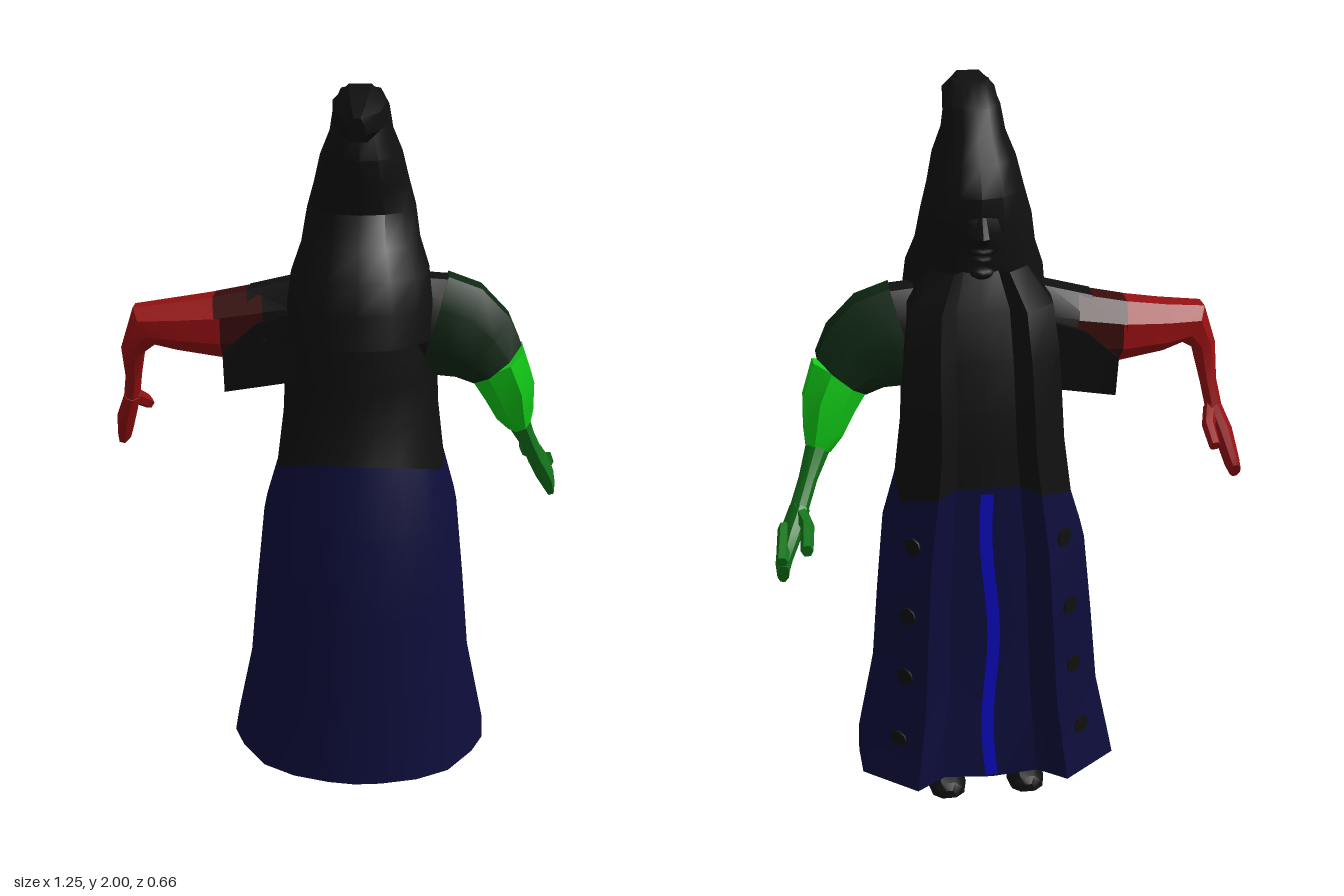
import * as THREE from 'three';
import { toCreasedNormals } from 'three/addons/utils/BufferGeometryUtils.js';

const V = (x, y, z) => new THREE.Vector3(x, y, z);
const CX = 0.07; // body axis

const mat = (name, color) => {
  const m = new THREE.MeshStandardMaterial({ color, side: THREE.DoubleSide });
  m.name = name;
  return m;
};

// Skin between cross-sections
function loft(rings, { closed = true, caps = false, crease = 0.7 } = {}) {
  const n = rings[0].length, pos = [], idx = [];
  rings.forEach(r => r.forEach(p => pos.push(p.x, p.y, p.z)));
  for (let i = 0; i < rings.length - 1; i++) {
    for (let j = 0; j < (closed ? n : n - 1); j++) {
      const k = (j + 1) % n, a = i * n, b = a + n;
      idx.push(a + j, a + k, b + k, a + j, b + k, b + j);
    }
  }
  if (caps) {
    [0, rings.length - 1].forEach(i => {
      const c = V(0, 0, 0);
      rings[i].forEach(p => c.addScaledVector(p, 1 / n));
      const ci = pos.length / 3;
      pos.push(c.x, c.y, c.z);
      for (let j = 0; j < n; j++) {
        const a = i * n + j, b = i * n + (j + 1) % n;
        idx.push(ci, i ? a : b, i ? b : a);
      }
    });
  }
  const g = new THREE.BufferGeometry();
  g.setAttribute('position', new THREE.Float32BufferAttribute(pos, 3));
  g.setIndex(idx);
  return toCreasedNormals(g, crease);
}

// Limb along stations [x, y, z, radius toward ref, radius across]
function limb(stations, ref = V(0, 0, 1), sides = 8) {
  const c = stations.map(s => V(s[0], s[1], s[2]));
  const rings = stations.map((s, i) => {
    const t = c[Math.min(i + 1, c.length - 1)].clone().sub(c[Math.max(i - 1, 0)]).normalize();
    const v = ref.clone().addScaledVector(t, -ref.dot(t)).normalize();
    const u = t.clone().cross(v);
    return Array.from({ length: sides }, (_, j) => {
      const a = ((j + 0.5) / sides) * Math.PI * 2;
      return c[i].clone().addScaledVector(v, Math.cos(a) * s[3]).addScaledVector(u, Math.sin(a) * s[4]);
    });
  });
  return loft(rings, { caps: true });
}

// Half outline of the coat: x by half width, z by back (+) or front (-) depth
const HALF = [[0, 1], [0.2, 0.97], [0.47, 0.87], [0.71, 0.68], [0.9, 0.3], [0.99, 0], [1, -0.35],
  [0.98, -0.67], [0.575, -1], [0.47, -0.92], [0.36, -0.84], [0, -0.88]];
const OUTLINE = [...HALF, ...HALF.slice(1, -1).reverse().map(([x, z]) => [-x, z])];
const robeRing = ([y, w, back, front, dip = 0]) => OUTLINE.map(([x, z]) =>
  V(CX + x * w, y - dip * Math.abs(x) ** 3, z > 0 ? z * back : -z * front));

// Stations: height, half width, back z, front z, dip at the sides
const SKIRT = [[0.12, 0.365, 0.27, -0.325], [0.37, 0.313, 0.247, -0.3], [0.6, 0.292, 0.23, -0.297],
  [0.83, 0.268, 0.208, -0.295], [1.02, 0.23, 0.16, -0.287, 0.06]];
const BODICE = [SKIRT[4], [1.12, 0.21, 0.13, -0.275], [1.22, 0.205, 0.12, -0.26],
  [1.35, 0.2, 0.12, -0.222], [1.47, 0.185, 0.1, -0.185], [1.56, 0.12, 0.07, -0.135]];

function skirtAt(y) {
  let i = 0;
  while (i < SKIRT.length - 2 && y > SKIRT[i + 1][0]) i++;
  const a = SKIRT[i], b = SKIRT[i + 1], t = (y - a[0]) / (b[0] - a[0]);
  return { w: a[1] + (b[1] - a[1]) * t, front: a[3] + (b[3] - a[3]) * t };
}

export function createModel() {
  const root = new THREE.Group();
  root.name = 'robedFigure';
  const black = mat('black cloth', 0x101010), navy = mat('navy cloth', 0x0d0d3b),
    blue = mat('blue trim', 0x0a0aba), darkGreen = mat('dark green', 0x0e2712),
    brightGreen = mat('bright green', 0x12cf18), green = mat('mid green', 0x13751a),
    red = mat('red', 0x961012), darkRed = mat('dark red', 0x3a0c0d);
  const add = (name, geo, m, parent = root) => {
    const mesh = new THREE.Mesh(geo, m);
    mesh.name = name;
    parent.add(mesh);
    return mesh;
  };

  // Robe
  add('skirt', loft(SKIRT.map(robeRing)), navy);
  add('bodice', loft(BODICE.map(robeRing), { caps: false }), black);

  // Wavy trim down the face-side panel
  const trim = Array.from({ length: 13 }, (_, i) => {
    const y = 0.13 + i * 0.073, x = CX + 0.01 * Math.sin(i * 0.75), z = skirtAt(y).front * 0.88 - 0.005;
    return [V(x - 0.017, y, z), V(x + 0.017, y, z)];
  });
  add('panelTrim', loft(trim, { closed: false }), blue);

  // Buttons on both slanted coat edges
  for (const s of [-1, 1]) {
    for (const y of [0.26, 0.46, 0.65, 0.86]) {
      const { w, front } = skirtAt(y);
      const dx = 0.405 * w, dz = -0.33 * front;
      const b = add('button', new THREE.CylinderGeometry(0.026, 0.026, 0.009, 8), black);
      b.position.set(CX + s * 0.76 * w, y, front * 0.848);
      b.quaternion.setFromUnitVectors(V(0, 1, 0), V(s * dz, 0, -dx).normalize());
    }
  }

  // Hood and its drape: height, half width, back z, front z
  const HOOD = [[1.365, 0.185, 0.262, -0.06], [1.45, 0.19, 0.25, -0.1], [1.53, 0.18, 0.235, -0.12],
    [1.6, 0.155, 0.19, -0.13], [1.68, 0.142, 0.14, -0.135], [1.75, 0.122, 0.165, -0.145],
    [1.82, 0.105, 0.18, -0.112], [1.88, 0.08, 0.168, -0.075], [1.94, 0.07, 0.16, -0.03], [1.985, 0.05, 0.16, 0.07]];
  add('hood', loft(HOOD.map(([y, w, b, f]) => Array.from({ length: 14 }, (_, j) => {
    const a = (j / 14) * Math.PI * 2;
    return V(CX + Math.sin(a) * w, y, (b + f) / 2 + Math.cos(a) * (b - f) / 2);
  })), { caps: true }), black);
  add('hoodTip', limb([[CX, 1.92, 0.03, 0.07, 0.045], [CX, 1.935, 0.15, 0.072, 0.07],
    [CX, 1.925, 0.24, 0.055, 0.055], [CX, 1.915, 0.325, 0.02, 0.03]], V(1, 0, 0)), black);

  // Face
  const face = new THREE.Group();
  face.name = 'face';
  root.add(face);
  const head = add('head', new THREE.SphereGeometry(0.1, 12, 10), black, face);
  head.scale.set(0.85, 1.2, 1);
  head.position.set(CX, 1.66, -0.045);
  add('nose', limb([[CX, 1.7, -0.135, 0.012, 0.012], [CX, 1.655, -0.157, 0.018, 0.016],
    [CX, 1.635, -0.14, 0.014, 0.01]], V(1, 0, 0), 6), black, face);
  [[1.615, 0.03, 0.01], [1.595, 0.026, 0.01], [1.56, 0.03, 0.016]].forEach(([y, w, h], i) => {
    const m = add(i < 2 ? 'lip' : 'chin', new THREE.SphereGeometry(1, 8, 6), black, face);
    m.scale.set(w, h, 0.025);
    m.position.set(CX, y, -0.128);
  });

  // Right arm
  const rightArm = new THREE.Group();
  rightArm.name = 'rightArm';
  root.add(rightArm);
  add('rightShoulder', limb([[0.02, 1.4, 0, 0.08, 0.12], [-0.1, 1.375, -0.01, 0.085, 0.12],
    [-0.22, 1.365, -0.015, 0.085, 0.1]]), black, rightArm);
  const sleeve = [[-0.08, 1.22, 1.42], [-0.2, 1.2, 1.38], [-0.29, 1.185, 1.3]].map(([x, lo, hi]) =>
    [V(x, hi, 0.075), V(x, lo, 0.05), V(x, lo, -0.08), V(x, hi, -0.105)]);
  add('rightSleeve', loft(sleeve), black, rightArm);
  add('rightUpperSleeve', limb([[-0.18, 1.37, -0.015, 0.09, 0.1], [-0.31, 1.355, -0.015, 0.085, 0.088]]), darkRed, rightArm);
  add('rightForearm', limb([[-0.3, 1.355, -0.015, 0.086, 0.09], [-0.42, 1.355, -0.01, 0.078, 0.07],
    [-0.505, 1.355, 0, 0.062, 0.062], [-0.54, 1.29, -0.005, 0.052, 0.032],
    [-0.55, 1.2, -0.04, 0.032, 0.022], [-0.565, 1.12, -0.07, 0.032, 0.022]]), red, rightArm);
  add('rightHand', limb([[-0.56, 1.14, -0.06, 0.032, 0.022], [-0.585, 1.07, -0.095, 0.045, 0.026],
    [-0.602, 1.0, -0.145, 0.045, 0.02], [-0.605, 0.985, -0.17, 0.03, 0.016]]), red, rightArm);
  add('rightThumb', limb([[-0.555, 1.13, -0.07, 0.022, 0.02], [-0.538, 1.1, -0.12, 0.02, 0.018],
    [-0.54, 1.07, -0.185, 0.016, 0.016]], V(0, 1, 0), 6), red, rightArm);

  // Left arm
  const leftArm = new THREE.Group();
  leftArm.name = 'leftArm';
  root.add(leftArm);
  add('leftShoulder', limb([[0.12, 1.4, 0, 0.08, 0.12], [0.2, 1.385, -0.01, 0.09, 0.125],
    [0.285, 1.365, -0.015, 0.09, 0.14]]), black, leftArm);
  add('leftUpperSleeve', limb([[0.26, 1.37, -0.015, 0.092, 0.145], [0.33, 1.35, -0.015, 0.092, 0.14],
    [0.39, 1.31, -0.015, 0.09, 0.115], [0.43, 1.265, -0.02, 0.088, 0.088]]), darkGreen, leftArm);
  add('leftElbow', limb([[0.428, 1.268, -0.02, 0.084, 0.086], [0.465, 1.19, -0.035, 0.08, 0.075],
    [0.485, 1.115, -0.055, 0.062, 0.055], [0.5, 1.075, -0.07, 0.045, 0.035]]), brightGreen, leftArm);
  add('leftForearm', limb([[0.495, 1.09, -0.065, 0.045, 0.034], [0.53, 1.01, -0.115, 0.04, 0.024],
    [0.56, 0.94, -0.165, 0.045, 0.024]]), green, leftArm);
  add('leftHand', limb([[0.555, 0.95, -0.16, 0.045, 0.026], [0.585, 0.89, -0.205, 0.062, 0.028],
    [0.603, 0.84, -0.25, 0.058, 0.02], [0.605, 0.825, -0.285, 0.035, 0.016]]), green, leftArm);
  add('leftFinger', limb([[0.595, 0.91, -0.2, 0.03, 0.02], [0.605, 0.875, -0.31, 0.018, 0.016]], V(0, 1, 0), 6), green, leftArm);
  add('leftThumb', limb([[0.56, 0.95, -0.17, 0.026, 0.022], [0.537, 0.935, -0.24, 0.024, 0.018],
    [0.54, 0.915, -0.33, 0.02, 0.016]], V(0, 1, 0), 6), green, leftArm);

  // Legs and shoes
  for (const s of [-1, 1]) {
    const x = CX + s * 0.105;
    add('leg', limb([[x, 0.4, -0.02, 0.04, 0.04], [x, 0.1, -0.015, 0.035, 0.032], [x, 0.04, -0.01, 0.04, 0.034]]), black);
    const shoe = [[0.05, 0.025, 0.05], [0.0, 0.04, 0.085], [-0.07, 0.045, 0.08], [-0.15, 0.055, 0.05],
      [-0.2, 0.045, 0.038], [-0.22, 0.02, 0.025]].map(([z, w, h]) => {
      const o = x + s * 0.01;
      return [V(o - w, 0, z), V(o + w, 0, z), V(o + w * 0.9, h * 0.5, z), V(o + w * 0.45, h, z),
        V(o - w * 0.45, h, z), V(o - w * 0.9, h * 0.5, z)];
    });
    add('shoe', loft(shoe, { caps: true }), black);
  }
  return root;
}
